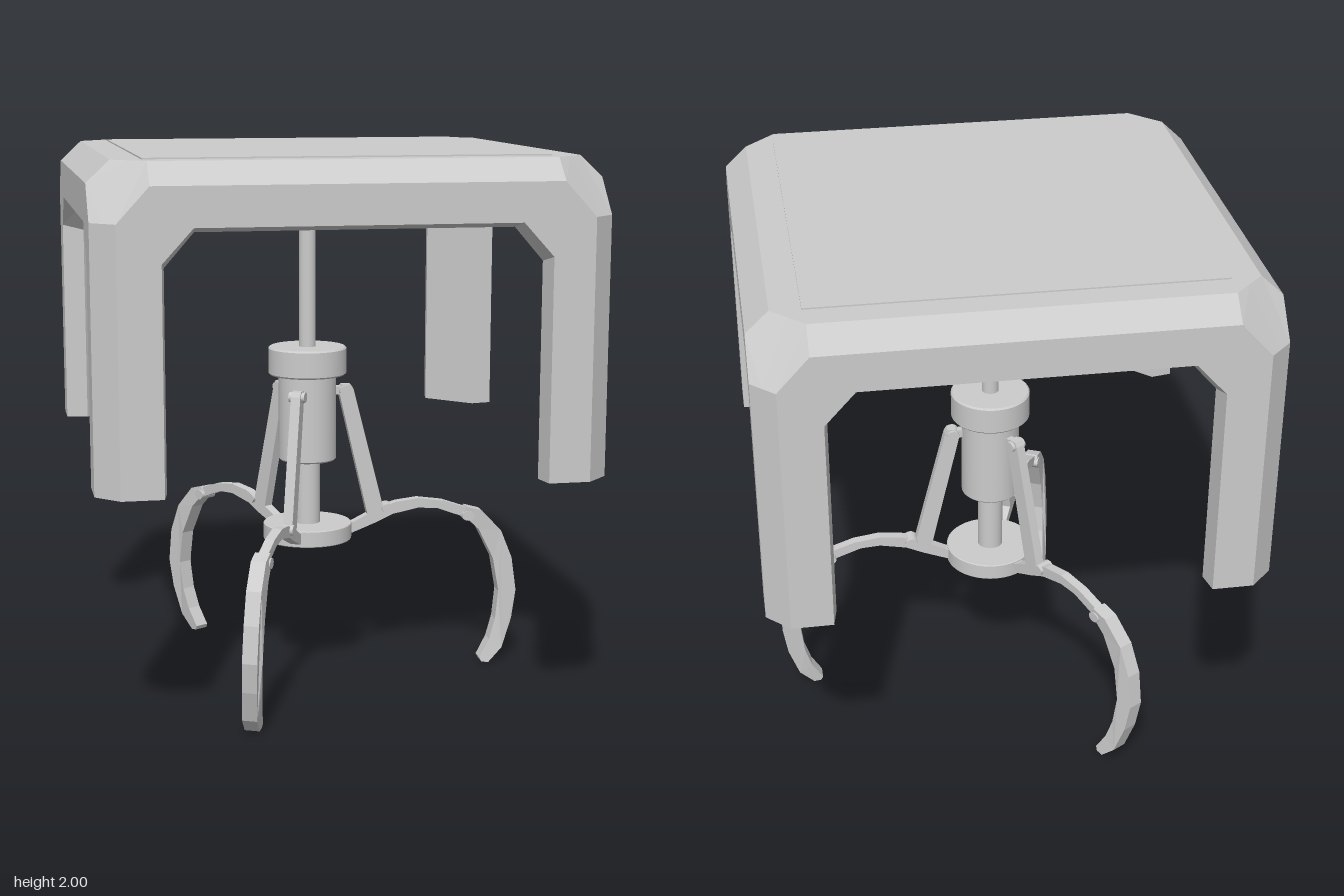
import * as THREE from 'three';

const flat = new THREE.MeshStandardMaterial({ color: 0xcccccc, flatShading: true, side: THREE.DoubleSide });
const smooth = new THREE.MeshStandardMaterial({ color: 0xcccccc });

function add(parent, name, geometry, material = flat) {
  const mesh = new THREE.Mesh(geometry, material);
  mesh.name = name;
  parent.add(mesh);
  return mesh;
}

// Chamfered hollow table: half of one side, mirrored and turned four times
function frameGeometry() {
  const T = 1.995;
  const outer = [[0, 1.785, 0.88], [0.55, 1.785, 0.88], [0.655, 1.67, 0.88], [0.655, 0.9, 0.88]];
  const inner = [[0, 1.765, 0.8], [0.54, 1.765, 0.8], [0.64, 1.65, 0.8], [0.64, 0.9, 0.8]];
  const edge = [[0, 1.92, 0.88], [0.69, 1.92, 0.88], [0.8, 1.8, 0.88], [0.8, 0.9, 0.88]];
  const legTop = [0.84, 1.8, 0.84], legFoot = [0.84, 0.9, 0.84];
  const inTop = [0.72, 1.65, 0.72], inFoot = [0.72, 0.9, 0.72];
  const rim = [0.69, T, 0.8], rimMid = [0, T, 0.8], rimCorner = [0.745, T, 0.745];
  const ceil = [0.57, 1.9, 0.66], ceilMid = [0, 1.9, 0.66], ceilCorner = [0.615, 1.9, 0.615];
  const faces = [
    [edge[0], edge[1], rim, rimMid],                          // top chamfer
    [edge[1], edge[2], legTop, rimCorner, rim],               // corner facet
    [edge[2], edge[3], legFoot, legTop],                      // leg chamfer
    [[0, T, 0], rimMid, rim, rimCorner],                      // top
    [inner[3], inFoot, legFoot, edge[3], outer[3]],           // foot
    [inner[2], inTop, inFoot, inner[3]],                      // leg inside
    [inner[1], ceil, ceilCorner, inTop, inner[2]],            // inner corner facet
    [ceilMid, ceil, inner[1], inner[0]],                      // beam inside
    [ceilCorner, ceil, ceilMid, [0, 1.9, 0]]                  // ceiling
  ];
  for (let i = 0; i < 3; i++) {
    faces.push([outer[i], outer[i + 1], edge[i + 1], edge[i]]);   // front of beam and leg
    faces.push([outer[i], inner[i], inner[i + 1], outer[i + 1]]); // edge of the opening
  }
  const pos = [];
  for (let turn = 0; turn < 4; turn++) {
    const c = [1, 0, -1, 0][turn], s = [0, 1, 0, -1][turn];
    for (const m of [1, -1]) for (const f of faces) {
      const p = f.map(([x, y, z]) => [m * x * c + z * s, y, -m * x * s + z * c]);
      if (m < 0) p.reverse();
      for (let i = 1; i < p.length - 1; i++) pos.push(...p[0], ...p[i], ...p[i + 1]);
    }
  }
  const g = new THREE.BufferGeometry();
  g.setAttribute('position', new THREE.Float32BufferAttribute(pos, 3));
  g.computeVertexNormals();
  return g;
}

// Upright cylinder with small bevels, from y0 to y1
function drum(parent, name, r, y0, y1, bevel = 0.006) {
  const rings = [[0, y0], [r - bevel, y0], [r, y0 + bevel], [r, y1 - bevel], [r - bevel, y1], [0, y1]];
  const pts = [];
  // doubled rings keep the bevel edges crisp
  rings.forEach(([x, y], i) => {
    pts.push(new THREE.Vector2(x, y));
    if (i > 0 && i < 5) pts.push(new THREE.Vector2(x, y));
  });
  return add(parent, name, new THREE.LatheGeometry(pts, 40), smooth);
}

// Side profile extruded to a centred width
function plate(profile, width) {
  const shape = new THREE.Shape(profile.map(([x, y]) => new THREE.Vector2(x, y)));
  return new THREE.ExtrudeGeometry(shape, { depth: width, bevelEnabled: false }).translate(0, 0, -width / 2);
}

function pin(parent, x, y, length, r = 0.024) {
  const m = add(parent, 'pivotPin', new THREE.CylinderGeometry(r, r, length, 16).rotateX(Math.PI / 2), smooth);
  m.position.set(x, y, 0);
  m.scale.y = 0.8;
}

function makeFinger() {
  const finger = new THREE.Group();
  finger.name = 'finger';

  // Arched inner link
  add(finger, 'fingerLink', plate([
    [0.12, 0.535], [0.155, 0.54], [0.245, 0.575], [0.31, 0.605], [0.41, 0.625], [0.485, 0.62], [0.58, 0.585], [0.62, 0.565],
    [0.635, 0.6], [0.59, 0.62], [0.51, 0.648], [0.41, 0.662], [0.325, 0.652], [0.26, 0.632], [0.155, 0.58], [0.12, 0.575]
  ], 0.036));

  // Curved claw, slightly bowed sideways
  const claw = plate([
    [0.585, 0.592], [0.65, 0.53], [0.71, 0.41], [0.733, 0.28], [0.72, 0.17], [0.695, 0.09], [0.655, 0.02], [0.663, 0.004],
    [0.69, 0], [0.745, 0.055], [0.785, 0.17], [0.803, 0.28], [0.785, 0.41], [0.74, 0.52], [0.66, 0.605], [0.6, 0.622]
  ], 0.055);
  const p = claw.attributes.position;
  for (let i = 0; i < p.count; i++) {
    const y = p.getY(i);
    p.setZ(i, p.getZ(i) + 0.018 - 0.143 * y + 0.188 * y * y);
  }
  add(finger, 'claw', claw);

  // Push rod and its mount
  add(finger, 'pushRod', plate([
    [0.1, 1.085], [0.212, 0.605], [0.245, 0.6], [0.273, 0.63], [0.155, 1.095], [0.145, 1.112], [0.112, 1.112]
  ], 0.036));
  add(finger, 'rodMount', new THREE.BoxGeometry(0.07, 0.03, 0.028)).position.set(0.09, 1.09, 0);

  pin(finger, 0.125, 1.09, 0.06);
  pin(finger, 0.29, 0.628, 0.06);
  pin(finger, 0.605, 0.587, 0.066);
  return finger;
}

export function createModel() {
  const model = new THREE.Group();
  model.name = 'clawTable';

  // Table frame with raised top panel
  add(model, 'tableFrame', frameGeometry()).scale.set(0.997, 1, 0.993);
  add(model, 'topPanel', new THREE.BoxGeometry(1.39, 0.01, 1.39)).position.y = 1.995;

  // Hanging grabber
  const grabber = new THREE.Group();
  grabber.name = 'grabber';
  grabber.position.x = -0.018;
  model.add(grabber);
  drum(grabber, 'shaft', 0.031, 1.25, 1.905, 0.001);
  drum(grabber, 'collar', 0.146, 1.155, 1.26);
  drum(grabber, 'body', 0.108, 0.83, 1.16);
  drum(grabber, 'piston', 0.047, 0.57, 0.84, 0.001);
  drum(grabber, 'baseDisc', 0.167, 0.525, 0.587, 0.003);

  // Three fingers around the shaft
  for (const degrees of [0, -115, 121]) {
    const arm = new THREE.Group();
    arm.name = 'fingerArm';
    arm.rotation.y = THREE.MathUtils.degToRad(degrees);
    const finger = makeFinger();
    finger.position.x = 0.018;
    arm.add(finger);
    grabber.add(arm);
  }
  return model;
}
